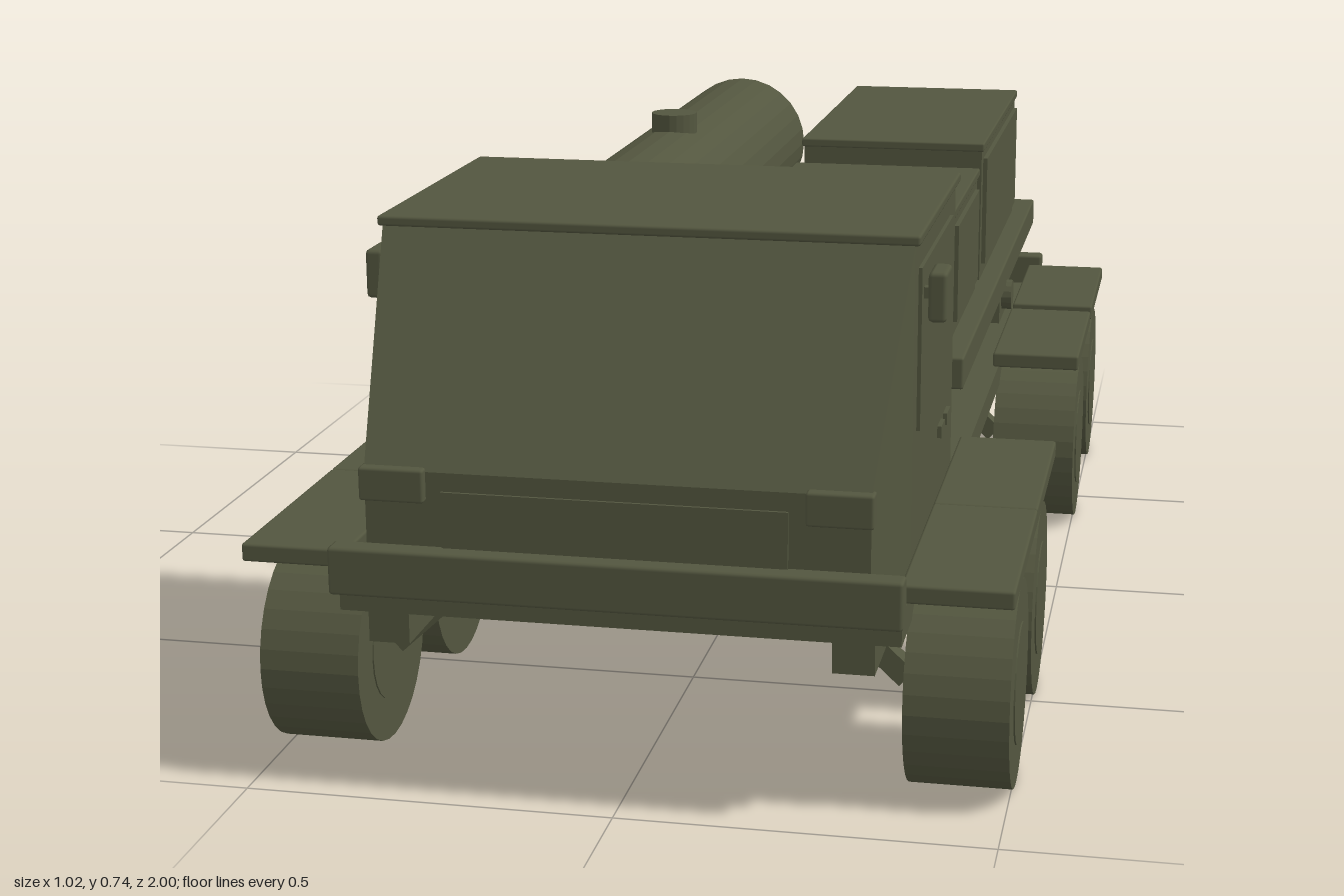
import * as THREE from 'three';
import { toCreasedNormals } from 'three/addons/utils/BufferGeometryUtils.js';
import { RoundedBoxGeometry } from 'three/addons/geometries/RoundedBoxGeometry.js';

export function createModel() {
  const model = new THREE.Group();
  model.name = 'armyTruck';
  const olive = new THREE.MeshStandardMaterial({ color: 0x53563f });
  olive.name = 'olive';

  function add(name, geometry, x = 0, y = 0, z = 0) {
    const mesh = new THREE.Mesh(geometry, olive);
    mesh.name = name;
    mesh.position.set(x, y, z);
    model.add(mesh);
    return mesh;
  }
  // Box given by its limits on each axis; a bevel softens its edges
  function box(name, [x0, x1], [y0, y1], [z0, z1], bevel = 0) {
    const size = [x1 - x0, y1 - y0, z1 - z0];
    const geometry = bevel
      ? new RoundedBoxGeometry(...size, 1, bevel)
      : new THREE.BoxGeometry(...size);
    return add(name, geometry, (x0 + x1) / 2, (y0 + y1) / 2, (z0 + z1) / 2);
  }
  // The same box on both sides
  function pair(name, [x0, x1], y, z, bevel) {
    box(name + 'Left', [x0, x1], y, z, bevel);
    box(name + 'Right', [-x1, -x0], y, z, bevel);
  }
  // Faceted cylinder
  const drum = (radius, length, sides) =>
    toCreasedNormals(new THREE.CylinderGeometry(radius, radius, length, sides), 0.1);

  // Chassis
  box('chassisDeck', [-0.37, 0.37], [0.25, 0.29], [-0.98, 0.97]);
  pair('chassisRail', [0.28, 0.335], [0.205, 0.25], [-0.97, 0.96]);
  pair('rearBracket', [0.3, 0.37], [0.213, 0.275], [-0.985, -0.95]);
  box('frontBumper', [-0.375, 0.375], [0.28, 0.345], [0.965, 1], 0.005);
  box('rearBumper', [-0.39, 0.39], [0.28, 0.345], [-1, -0.962], 0.005);

  // Fenders
  for (const [z0, z1] of [[0.61, 0.955], [0.27, 0.61], [-0.585, -0.245], [-0.965, -0.622]]) {
    pair('fender', [0.365, 0.51], [0.302, 0.327], [z0, z1], 0.004);
  }

  // Wheels with hubs and slanted suspension arms
  for (const z of [0.785, 0.447, -0.41, -0.79]) {
    for (const side of [-1, 1]) {
      add('wheel', drum(0.14, 0.138, 32), side * 0.435, 0.14, z).rotation.z = Math.PI / 2;
      add('hub', drum(0.082, 0.142, 24), side * 0.435, 0.14, z).rotation.z = Math.PI / 2;
      add('suspensionArm', new THREE.BoxGeometry(0.125, 0.03, 0.03),
        side * 0.31, 0.183, z).rotation.z = -side * 0.75;
    }
  }

  // Cab: upright cross-sections from back to front, narrowing at the nose
  function cabGeometry() {
    const bottom = 0.29;
    const sections = [
      { z: 0.325, top: 0.728, w: 0.357 },
      { z: 0.785, top: 0.728, w: 0.357 },
      { z: 0.97, top: 0.445, w: 0.33 },
    ];
    const positions = [];
    const index = [];
    for (const { z, top, w } of sections) {
      positions.push(-w, bottom, z, w, bottom, z, w, top, z, -w, top, z);
    }
    const quad = (a, b, c, d) => index.push(a, b, c, a, c, d);
    for (let s = 0; s < sections.length - 1; s++) {
      for (let k = 0; k < 4; k++) {
        const a = s * 4 + k;
        const b = s * 4 + (k + 1) % 4;
        quad(a, b, b + 4, a + 4);
      }
    }
    quad(3, 2, 1, 0);
    quad(8, 9, 10, 11);
    const geometry = new THREE.BufferGeometry();
    geometry.setAttribute('position', new THREE.Float32BufferAttribute(positions, 3));
    geometry.setIndex(index);
    const flat = geometry.toNonIndexed();
    flat.computeVertexNormals();
    return flat;
  }
  add('cab', cabGeometry());
  box('cabRoof', [-0.364, 0.364], [0.726, 0.74], [0.32, 0.79], 0.004);
  box('grillePanel', [-0.228, 0.225], [0.34, 0.42], [0.966, 0.974]);
  pair('headlight', [0.248, 0.335], [0.405, 0.45], [0.955, 0.982], 0.004);
  pair('door', [0.355, 0.362], [0.47, 0.69], [0.39, 0.75]);
  pair('mirror', [0.37, 0.395], [0.618, 0.685], [0.69, 0.755], 0.006);
  pair('mirrorBracket', [0.355, 0.372], [0.645, 0.66], [0.715, 0.73]);
  for (const z of [0.393, 0.463]) pair('sideVent', [0.355, 0.363], [0.39, 0.407], [z, z + 0.042]);

  // Raised cargo bed with a valve box under its left edge
  box('cargoBed', [-0.372, 0.372], [0.408, 0.457], [-0.97, 0.305], 0.004);
  box('valveBox', [0.29, 0.365], [0.355, 0.41], [-0.46, -0.345]);
  add('valveKnob', drum(0.026, 0.03, 16), 0.367, 0.395, -0.4).rotation.z = Math.PI / 2;

  // Equipment boxes with lids and side panels
  for (const [z0, z1, top] of [[-0.848, -0.225, 0.69], [-0.163, 0.203, 0.66]]) {
    box('equipmentBox', [0.04, 0.34], [0.455, top - 0.012], [z0 + 0.003, z1 - 0.003]);
    box('equipmentLid', [0.036, 0.344], [top - 0.014, top], [z0, z1], 0.003);
    box('equipmentPanel', [0.338, 0.347], [0.48, top - 0.03], [z0 + 0.03, z1 - 0.03]);
  }

  // Tank on its base with a filler cap
  box('tankBase', [-0.322, -0.035], [0.455, 0.482], [-0.805, 0.2]);
  add('tank', drum(0.12, 1, 28), -0.178, 0.585, -0.3).rotation.x = Math.PI / 2;
  add('tankCap', drum(0.038, 0.05, 20), -0.178, 0.707, -0.198);

  return model;
}
